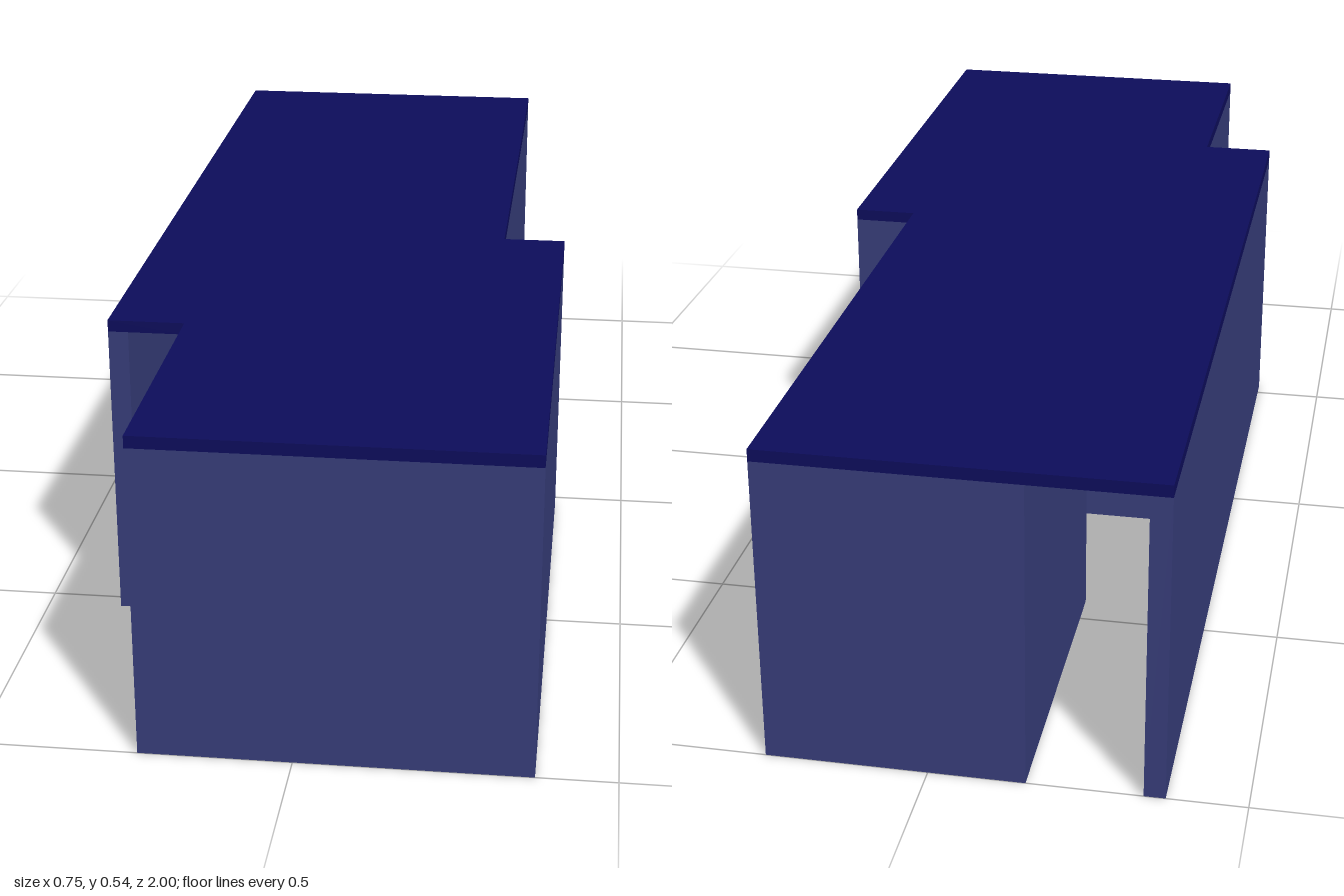
import * as THREE from 'three';

const WALL_H = 0.517, ROOF_T = 0.02, T = 0.034;

export function createModel() {
  const group = new THREE.Group();
  const wallMat = new THREE.MeshStandardMaterial({ name: 'slateBlue', color: 0x363c78 });
  const roofMat = new THREE.MeshStandardMaterial({ name: 'navy', color: 0x0c0c5a });

  // Upright wall filling a rectangle of the floor plan
  const wall = (name, x0, x1, z0, z1) => {
    const mesh = new THREE.Mesh(new THREE.BoxGeometry(x1 - x0, WALL_H, z1 - z0), wallMat);
    mesh.name = name;
    mesh.position.set((x0 + x1) / 2, WALL_H / 2, (z0 + z1) / 2);
    group.add(mesh);
  };

  // Outer walls, open at the back right corner and at the front right step
  wall('longRightWall', -0.373, -0.373 + T, -1, 0.533);
  wall('backWall', -0.155, 0.262 - T, -1, -1 + T);
  wall('backLeftWall', 0.262 - T, 0.262, -1, 0.03 + T);
  wall('stepWall', 0.262, 0.373 - T, 0.03, 0.03 + T);
  wall('frontLeftWall', 0.373 - T, 0.373, 0.03, 1);
  wall('frontWall', -0.243 + T, 0.373 - T, 1 - T, 1);
  wall('frontRightWall', -0.243, -0.243 + T, 0.1, 1);

  // Partitions inside
  wall('backCorridorWall', -0.155, -0.155 + T, -1 + T, -0.44);
  wall('crossPartition', -0.373 + T, 0.132, -0.113, -0.113 + T);
  wall('doorStub', 0.195, 0.262 - T, -0.113, -0.113 + T);
  wall('frontCorridorWall', -0.09 - T, -0.09, 0.2, 0.78);
  wall('frontPartition', 0.07, 0.373 - T, 0.66, 0.66 + T);

  // Flat roof slab with a step on each long side
  const outline = [
    [-0.373, -1], [0.262, -1], [0.262, 0.03], [0.373, 0.03],
    [0.373, 1], [-0.243, 1], [-0.243, 0.533], [-0.373, 0.533],
  ];
  const shape = new THREE.Shape(outline.map(([x, z]) => new THREE.Vector2(x, z)));
  const roofGeo = new THREE.ExtrudeGeometry(shape, { depth: ROOF_T, bevelEnabled: false });
  roofGeo.rotateX(Math.PI / 2);
  const roof = new THREE.Mesh(roofGeo, roofMat);
  roof.name = 'roof';
  roof.position.y = WALL_H + ROOF_T;
  group.add(roof);

  return group;
}
